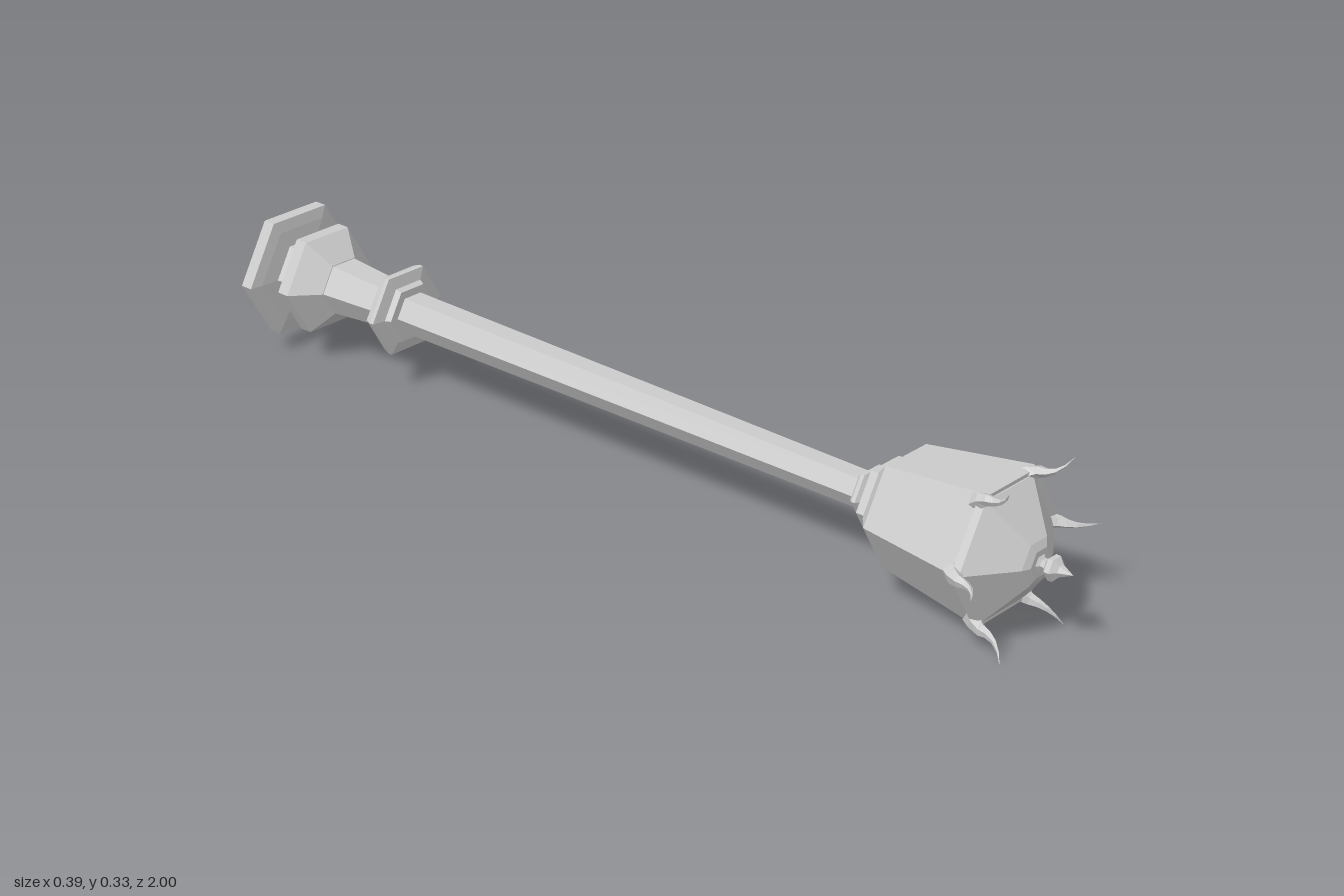
import * as THREE from 'three';

const AXIS_Y = 0.168; // height of the long axis
const SHIFT = 0.011;  // the post sits slightly to the left of the cap

const material = new THREE.MeshStandardMaterial({ color: 0xcccccc, flatShading: true });

// Six-sided turned part along z; profile is a list of [z, radius]
function hexPart(name, profile, x) {
  const points = profile.map(([z, r]) => new THREE.Vector2(r, z));
  const geometry = new THREE.LatheGeometry(points, 6, Math.PI / 2);
  geometry.rotateX(Math.PI / 2);
  const mesh = new THREE.Mesh(geometry, material);
  mesh.name = name;
  mesh.position.set(x, AXIS_Y, 0);
  return mesh;
}

// Tapered horn: a cone whose rings follow a curve in the x-z plane
function hornGeometry() {
  const path = new THREE.CatmullRomCurve3([
    [0.128, 0.838], [0.145, 0.858], [0.15, 0.882], [0.163, 0.905], [0.193, 0.925],
  ].map(([x, z]) => new THREE.Vector3(x, 0, z)));
  const geometry = new THREE.CylinderGeometry(0, 1, 1, 5, 6);
  const pos = geometry.attributes.position;
  for (let i = 0; i < pos.count; i++) {
    const t = pos.getY(i) + 0.5;
    const centre = path.getPoint(t);
    const tangent = path.getTangent(t);
    const side = new THREE.Vector3(tangent.z, 0, -tangent.x);
    const width = 0.019 * (t > 0 ? 1 - 0.3 * t : 1);
    centre.addScaledVector(side, pos.getX(i) * width);
    centre.y -= pos.getZ(i) * width;
    pos.setXYZ(i, centre.x, centre.y, centre.z);
  }
  // keep the faces pointing outwards
  const a = geometry.toNonIndexed();
  const p = a.attributes.position;
  const v = [0, 1, 2].map(() => new THREE.Vector3());
  let volume = 0;
  for (let i = 0; i < p.count; i += 3) {
    v.forEach((q, k) => q.fromBufferAttribute(p, i + k));
    volume += v[0].dot(v[1].clone().cross(v[2]));
  }
  if (volume < 0) {
    const index = geometry.index.array;
    for (let i = 0; i < index.length; i += 3) {
      [index[i], index[i + 1]] = [index[i + 1], index[i]];
    }
  }
  geometry.computeVertexNormals();
  return geometry;
}

export function createModel() {
  const group = new THREE.Group();
  group.name = 'lampPost';

  // Foot plate and bulged pedestal
  group.add(hexPart('base', [
    [-1, 0], [-1, 0.143], [-0.972, 0.143], [-0.968, 0.115], [-0.965, 0.075],
    [-0.945, 0.07], [-0.938, 0.088], [-0.918, 0.116], [-0.89, 0.116],
    [-0.842, 0.062], [-0.842, 0],
  ], SHIFT));

  // Lower shaft
  group.add(hexPart('lowerShaft', [
    [-0.85, 0], [-0.85, 0.061], [-0.69, 0.049], [-0.69, 0],
  ], SHIFT));

  // Collar above the lower shaft
  group.add(hexPart('collar', [
    [-0.703, 0], [-0.703, 0.052], [-0.685, 0.066], [-0.68, 0.09], [-0.665, 0.096],
    [-0.655, 0.096], [-0.65, 0.068], [-0.638, 0.062], [-0.638, 0],
  ], SHIFT));

  // Slim main pole
  group.add(hexPart('pole', [
    [-0.66, 0], [-0.66, 0.044], [0.59, 0.035], [0.59, 0],
  ], SHIFT));

  // Small ring under the lantern
  group.add(hexPart('ring', [
    [0.538, 0], [0.538, 0.046], [0.545, 0.053], [0.553, 0.053], [0.56, 0.04], [0.56, 0],
  ], SHIFT));

  // Lantern body with its stepped seat
  group.add(hexPart('lantern', [
    [0.568, 0], [0.568, 0.055], [0.578, 0.062], [0.578, 0.08], [0.595, 0.08],
    [0.6, 0.088], [0.624, 0.117], [0.845, 0.15], [0.856, 0.147], [0.856, 0],
  ], SHIFT));

  // Pointed cap
  group.add(hexPart('cap', [
    [0.845, 0], [0.845, 0.145], [0.858, 0.138], [0.925, 0.047], [0.932, 0.03], [0.932, 0],
  ], 0));

  // Finial
  group.add(hexPart('finial', [
    [0.928, 0.022], [0.937, 0.011], [0.946, 0.012], [0.954, 0.024], [0.964, 0.024],
    [0.974, 0.012], [1, 0],
  ], 0));

  // Six curved horns at the corners of the cap
  const horn = hornGeometry();
  for (let i = 0; i < 6; i++) {
    const mesh = new THREE.Mesh(horn, material);
    mesh.name = 'horn' + (i + 1);
    mesh.position.y = AXIS_Y;
    mesh.rotation.z = (i * Math.PI) / 3;
    group.add(mesh);
  }
  return group;
}
